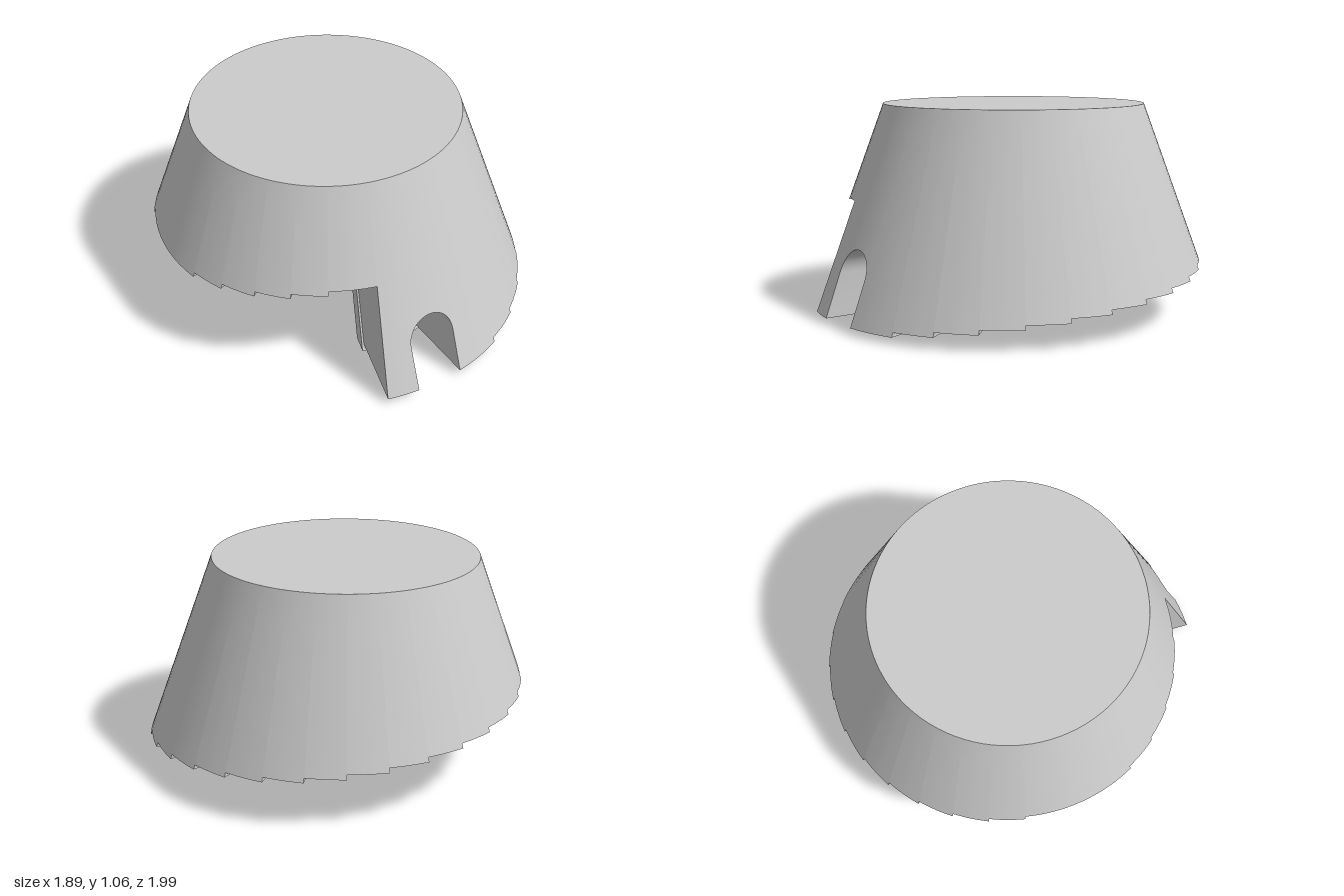
import * as THREE from 'three';
import { toCreasedNormals } from 'three/addons/utils/BufferGeometryUtils.js';

const CX = -0.06, CZ = -0.055;      // axis of the tower
const TOP = 1.06, TOP_R = 0.675, SLOPE = 0.368;
const WALL = 0.41;                  // wall thickness
const BASE = 0.033, RISE = 0.022;   // lowest underside and step height
const DOOR = 0.1225, SPRING = 0.25; // half width of doorway, start of its arch
const deg = Math.PI / 180;

const radius = y => TOP_R + SLOPE * (TOP - y);
const radial = a => () => a * deg;
const parallel = dx => r => Math.asin(dx / r);
const blend = (f, g, t) => r => f(r) * (1 - t) + g(r) * t;

// Point on the cone moved in by an offset; column gives the angle for a radius
function point(column, y, inset) {
  const r = radius(y) - inset, a = column(r);
  return [CX + r * Math.sin(a), y, CZ + r * Math.cos(a)];
}

// Ring-shaped wall from segments { a, b, ya, yb }: two columns and their lower heights
function ringWall(name, segments, top, outer, inner, material) {
  const pos = [];
  const quad = (a, b, c, d) => pos.push(...a, ...b, ...c, ...a, ...c, ...d);
  const radialFace = (col, low, high) => {
    if (Math.abs(low - high) < 1e-5) return;
    quad(point(col, low, outer), point(col, low, inner), point(col, high, inner), point(col, high, outer));
  };
  const rows = 6;
  segments.forEach(({ a, b, ya, yb }, i) => {
    for (let k = 0; k < rows; k++) {
      const at = (y, j) => y + (top - y) * j / rows;
      const a0 = at(ya, k), a1 = at(ya, k + 1), b0 = at(yb, k), b1 = at(yb, k + 1);
      quad(point(a, a0, outer), point(b, b0, outer), point(b, b1, outer), point(a, a1, outer));
      quad(point(b, b0, inner), point(a, a0, inner), point(a, a1, inner), point(b, b1, inner));
    }
    // underside and top
    quad(point(a, ya, outer), point(a, ya, inner), point(b, yb, inner), point(b, yb, outer));
    quad(point(a, top, inner), point(a, top, outer), point(b, top, outer), point(b, top, inner));
    // riser or end face towards the next segment
    const next = segments[i + 1];
    radialFace(b, yb, next ? next.ya : top);
    if (i === 0) radialFace(a, top, ya);
  });
  const geometry = new THREE.BufferGeometry();
  geometry.setAttribute('position', new THREE.Float32BufferAttribute(pos, 3));
  const mesh = new THREE.Mesh(toCreasedNormals(geometry, 25 * deg), material);
  mesh.name = name;
  return mesh;
}

// Segments of constant lower height between two columns
function span(from, to, y, n) {
  return Array.from({ length: n }, (_, i) => ({
    a: blend(from, to, i / n), b: blend(from, to, (i + 1) / n), ya: y, yb: y,
  }));
}

export function createModel() {
  const model = new THREE.Group();
  const material = new THREE.MeshStandardMaterial({ color: 0xcccccc, side: THREE.DoubleSide });

  // Wall beside and above the arched doorway
  const START = -15.6, FIRST = 21.8, STEP = 11.69;
  const segments = span(radial(START), parallel(-DOOR), BASE, 3);
  const n = 20;
  const archX = i => -DOOR * Math.cos(Math.PI * i / n);
  const archY = i => SPRING + 0.128 * Math.sin(Math.PI * i / n);
  for (let i = 0; i < n; i++) {
    segments.push({ a: parallel(archX(i)), b: parallel(archX(i + 1)), ya: archY(i), yb: archY(i + 1) });
  }
  segments.push(...span(parallel(DOOR), radial(FIRST), BASE, 5));

  // Spiral of stepped undersides: long flight, landing, short flight
  let angle = FIRST;
  for (let k = 1; k <= 25; k++) {
    const end = k === 25 ? 360 + START : k === 20 ? 282.2 : angle + STEP;
    const parts = Math.max(3, Math.round((end - angle) / 4));
    segments.push(...span(radial(angle), radial(end), BASE + k * RISE, parts));
    angle = end;
  }
  model.add(ringWall('steppedWall', segments, TOP, 0, WALL, material));

  // Flat roof
  const roof = new THREE.Mesh(new THREE.CircleGeometry(TOP_R, 96), material);
  roof.rotation.x = -Math.PI / 2;
  roof.position.set(CX, TOP, CZ);
  roof.name = 'roof';
  model.add(roof);

  // Frame around the inner end of the doorway
  const frame = new THREE.Group();
  frame.name = 'innerDoorFrame';
  const block = (name, a0, a1, y0, y1) =>
    frame.add(ringWall(name, span(radial(a0), radial(a1), y0, 8), y1, 0.385, 0.482, material));
  block('sill', -16.5, 16.5, 0, 0.12);
  block('lintel', -16.5, 16.5, 0.32, 0.4);
  block('rightPost', -16.5, -13.2, 0.12, 0.32);
  block('leftPost', 13.2, 16.5, 0.12, 0.32);
  model.add(frame);

  return model;
}
